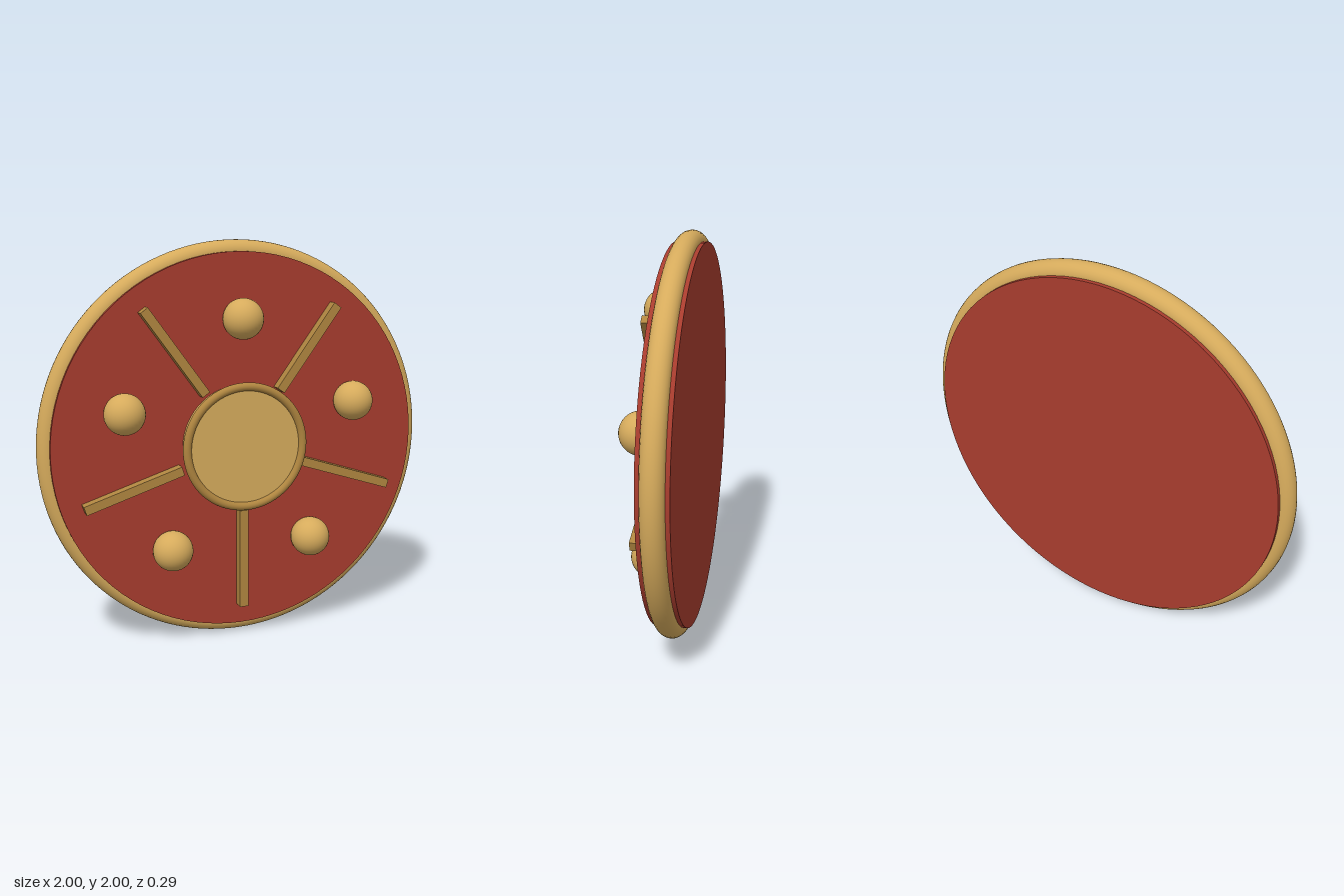
import * as THREE from 'three';

export function createModel() {
  const model = new THREE.Group();
  model.name = 'roundShield';
  const material = (name, color) => {
    const m = new THREE.MeshStandardMaterial({ color });
    m.name = name;
    return m;
  };
  const red = material('red', 0xa83c2e);
  const gold = material('gold', 0xd6ab5c);
  const bronze = material('bronze', 0xb08640);

  // everything is built around the shield centre
  const add = (name, geometry, mat, x = 0, y = 0, z = 0) => {
    const mesh = new THREE.Mesh(geometry, mat);
    mesh.name = name;
    mesh.position.set(x, y + 1, z);
    model.add(mesh);
    return mesh;
  };
  const disc = (radius, depth) =>
    new THREE.CylinderGeometry(radius, radius, depth, 96).rotateX(Math.PI / 2);

  // red body and rounded rim
  add('body', disc(0.945, 0.15), red, 0, 0, -0.07);
  add('rim', new THREE.TorusGeometry(0.945, 0.055, 24, 128), gold, 0, 0, -0.07);

  // centre boss with its raised ring
  add('boss', disc(0.3, 0.085), gold, 0, 0, 0.0425);
  add('bossRing', new THREE.TorusGeometry(0.3, 0.021, 16, 96), bronze, 0, 0, 0.083);

  // five studs with five bars between them
  const stud = new THREE.SphereGeometry(0.1, 32, 24);
  const bar = new THREE.BoxGeometry(0.51, 0.045, 0.07);
  for (let i = 0; i < 5; i++) {
    const a = Math.PI / 2 + (i * Math.PI * 2) / 5;
    add('stud', stud, gold, Math.cos(a) * 0.625, Math.sin(a) * 0.625, 0.045);
    const b = a + Math.PI / 5;
    add('bar', bar, bronze, Math.cos(b) * 0.585, Math.sin(b) * 0.585, 0.025).rotation.z = b;
  }
  return model;
}
